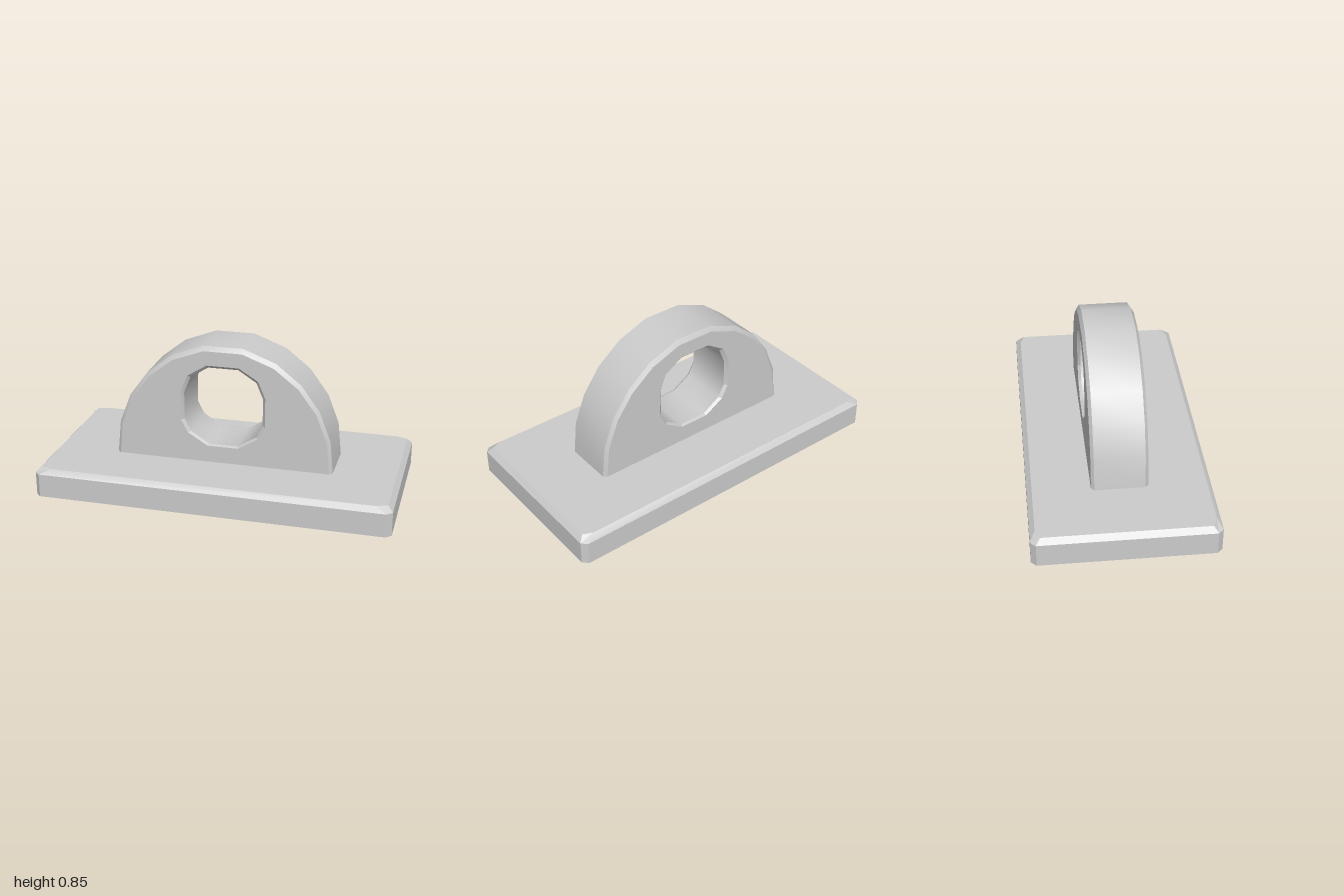
import * as THREE from 'three';
import { toCreasedNormals } from 'three/addons/utils/BufferGeometryUtils.js';

const material = new THREE.MeshStandardMaterial({ color: 0xcccccc, side: THREE.DoubleSide });
const TOP = 0.163;      // top of the base plate
const FACE = 0.155;     // z of the lug's flat faces
const EDGE = 0.138;     // z where the lug's bevel ends

// Skin between consecutive rings of [x, y, z] points
function loft(rings, closed, crease) {
  const pos = [];
  for (let r = 0; r < rings.length - 1; r++) {
    const a = rings[r], b = rings[r + 1], n = a.length;
    for (let i = 0; i < (closed ? n : n - 1); i++) {
      const j = (i + 1) % n;
      pos.push(...a[i], ...a[j], ...b[j], ...a[i], ...b[j], ...b[i]);
    }
  }
  const g = new THREE.BufferGeometry();
  g.setAttribute('position', new THREE.Float32BufferAttribute(pos, 3));
  return toCreasedNormals(g, crease);
}

// Rectangle with cut corners, counter-clockwise
const cutRect = (x, y, cx, cy) => [
  [x, -y + cy], [x, y - cy], [x - cx, y], [-x + cx, y],
  [-x, y - cy], [-x, -y + cy], [-x + cx, -y], [x - cx, -y]];
const mirrored = half => [...half, ...half.map(([x, y]) => [-x, y]).reverse()];
const scaled = (pts, sx, sy, cy) => pts.map(([x, y]) => [x * sx, cy + (y - cy) * sy]);
const atZ = (pts, z) => pts.map(([x, y]) => [x, y, z]);
const atY = (pts, h) => pts.map(([x, y]) => [x, h, -y]);
const toVectors = pts => pts.map(p => new THREE.Vector2(...p));

function plate(outline, hole) {
  const shape = new THREE.Shape(toVectors(outline));
  shape.holes.push(new THREE.Path(toVectors(hole)));
  return new THREE.ShapeGeometry(shape);
}

export function createModel() {
  const model = new THREE.Group();
  const add = (name, geometry) => {
    const mesh = new THREE.Mesh(geometry, material);
    mesh.name = name;
    model.add(mesh);
    return mesh;
  };

  // Hollow base: walls and bevel, open underneath
  const wall = cutRect(1, 0.5, 0.029, 0.029);
  const rim = cutRect(0.972, 0.472, 0.06, 0.025);
  add('baseWalls', loft([atY(wall, 0), atY(wall, 0.134), atY(rim, TOP)], true, 0.3));

  // Base top with an opening into the hollow lug
  const footprint = cutRect(0.625, FACE, 0.017, FACE - EDGE);
  add('baseTop', plate(rim, footprint).rotateX(-Math.PI / 2).translate(0, TOP, 0));

  // Arched lug: rounded outer band with bevelled edges
  const arch = mirrored([[0.625, TOP], [0.606, 0.353], [0.542, 0.52],
    [0.437, 0.664], [0.295, 0.777], [0.112, 0.847]]);
  const archFace = scaled(arch, 0.972, 0.961, TOP);
  add('lugBand', loft([atZ(archFace, -FACE), atZ(arch, -EDGE), atZ(arch, EDGE), atZ(archFace, FACE)], false, 0.45));

  // Through hole with bevelled rims
  const bore = mirrored([[0.082, 0.267], [0.187, 0.333], [0.225, 0.405],
    [0.225, 0.565], [0.187, 0.657], [0.085, 0.722]]);
  const boreFace = scaled(bore, 1.075, 1.05, 0.4);
  add('boreWall', loft([atZ(bore, EDGE), atZ(bore, -EDGE)], true, 0.8));
  for (const s of [1, -1]) {
    const rings = [atZ(boreFace, s * FACE), atZ(bore, s * EDGE)];
    add(s > 0 ? 'frontBoreRim' : 'backBoreRim', loft(s > 0 ? rings : rings.reverse(), true, 0.3));

    // Flat faces of the lug
    const face = plate(archFace, boreFace);
    if (s < 0) face.rotateY(Math.PI);
    add(s > 0 ? 'frontLugFace' : 'backLugFace', face.translate(0, 0, s * FACE));
  }
  return model;
}
